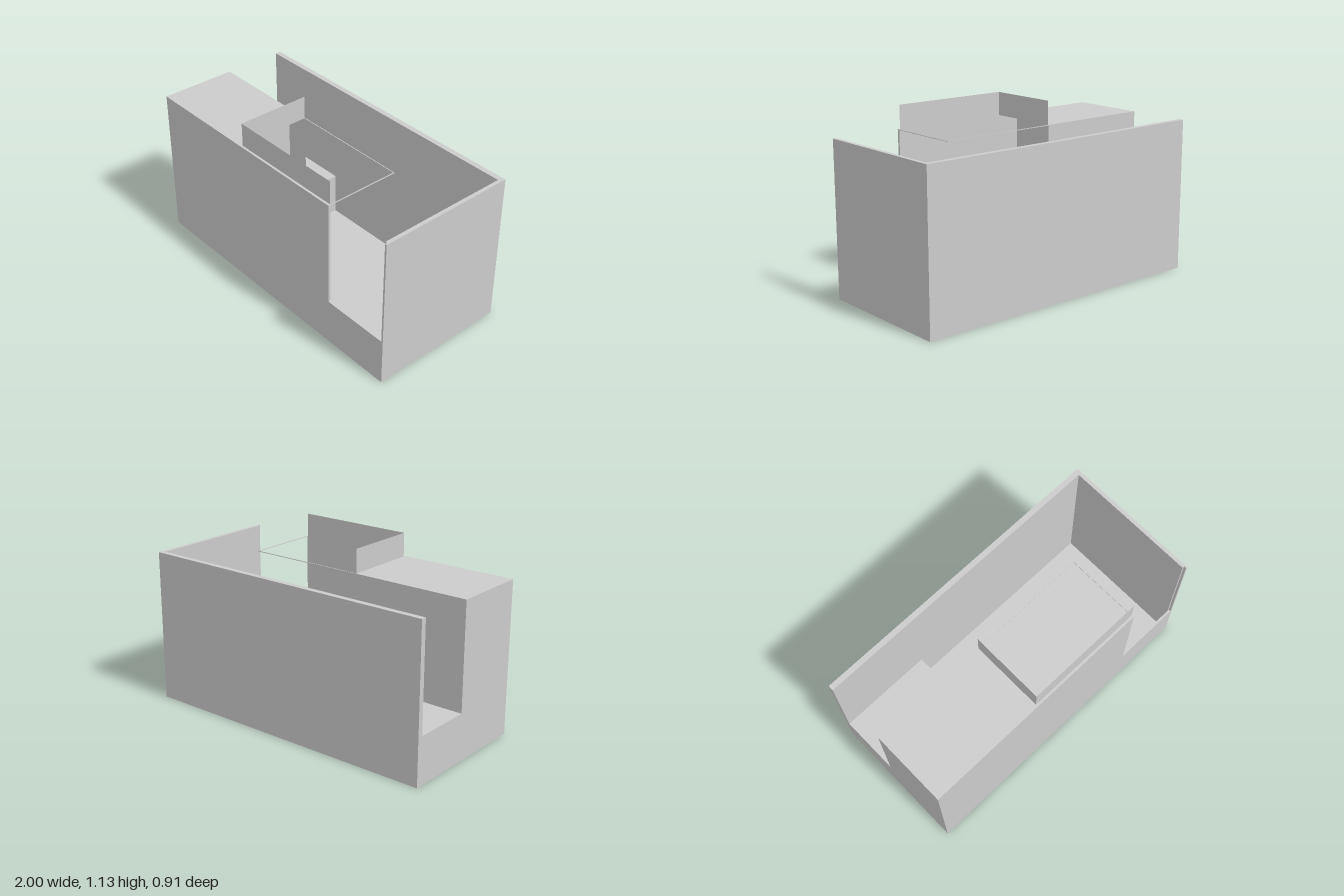
import * as THREE from 'three';

const material = new THREE.MeshStandardMaterial({ color: 0xcccccc, flatShading: true });
const sheetMaterial = new THREE.MeshStandardMaterial({ color: 0xcccccc, flatShading: true, side: THREE.DoubleSide });

export function createModel() {
  const group = new THREE.Group();

  // Box given by its opposite corners
  function block(name, [x0, y0, z0], [x1, y1, z1]) {
    const mesh = new THREE.Mesh(new THREE.BoxGeometry(x1 - x0, y1 - y0, z1 - z0), material);
    mesh.position.set((x0 + x1) / 2, (y0 + y1) / 2, (z0 + z1) / 2);
    mesh.name = name;
    group.add(mesh);
  }

  // Open sheet without thickness, seen from both sides
  function sheet(name, width, height, position, rotation) {
    const mesh = new THREE.Mesh(new THREE.PlaneGeometry(width, height), sheetMaterial);
    mesh.position.set(...position);
    mesh.rotation.set(...rotation);
    mesh.name = name;
    group.add(mesh);
  }

  const top = 0.977, ledge = 0.3, floorTop = 0.02;
  const front = 0.455, inner = 0.44, back = -0.455, mid = -0.035;
  const step = -0.39, roofEnd = -0.235, doorLeft = 0.988, doorRight = 0.546;

  // Shell: floor, back wall and end wall
  block('floor', [step, 0, -0.42], [0.975, floorTop, inner]);
  block('backWall', [-1, 0, back], [1, top, -0.42]);
  block('endWall', [0.975, 0, -0.42], [1, top, inner]);

  // Front wall with the open doorway beside the end wall
  const outline = new THREE.Shape([
    [step, 0], [1, 0], [1, top], [doorLeft, top], [doorLeft, ledge],
    [doorRight, ledge], [doorRight, top], [step, top],
  ].map(([x, y]) => new THREE.Vector2(x, y)));
  const frontWall = new THREE.Mesh(
    new THREE.ExtrudeGeometry(outline, { depth: front - inner, bevelEnabled: false }), material);
  frontWall.position.z = inner;
  frontWall.name = 'frontWall';
  group.add(frontWall);

  // Solid tall block and raised entry ledge
  block('tallBlock', [-1, 0, mid], [step, top, front]);
  block('entryLedge', [-1, 0, -0.42], [step, ledge, mid]);

  // Roof and inner wall between the block and the roof opening
  const span = roofEnd - step, spanX = (roofEnd + step) / 2;
  sheet('roof', span, inner - mid, [spanX, top, (inner + mid) / 2], [-Math.PI / 2, 0, 0]);
  sheet('innerWall', span, top, [spanX, top / 2, mid], [0, 0, 0]);

  // Thin rim around the two free sides of the roof opening
  block('backRim', [roofEnd, top - 0.004, mid], [doorRight, top, mid + 0.005]);
  block('sideRim', [doorRight - 0.005, top - 0.004, mid + 0.005], [doorRight, top, inner]);

  // Parapet on the other two sides
  const high = 1.127 - top, midY = top + high / 2;
  sheet('frontParapet', 0.776, high, [0.153, midY, inner], [0, 0, 0]);
  sheet('sideParapet', 0.47, high, [roofEnd, midY, 0.205], [0, Math.PI / 2, 0]);

  return group;
}
